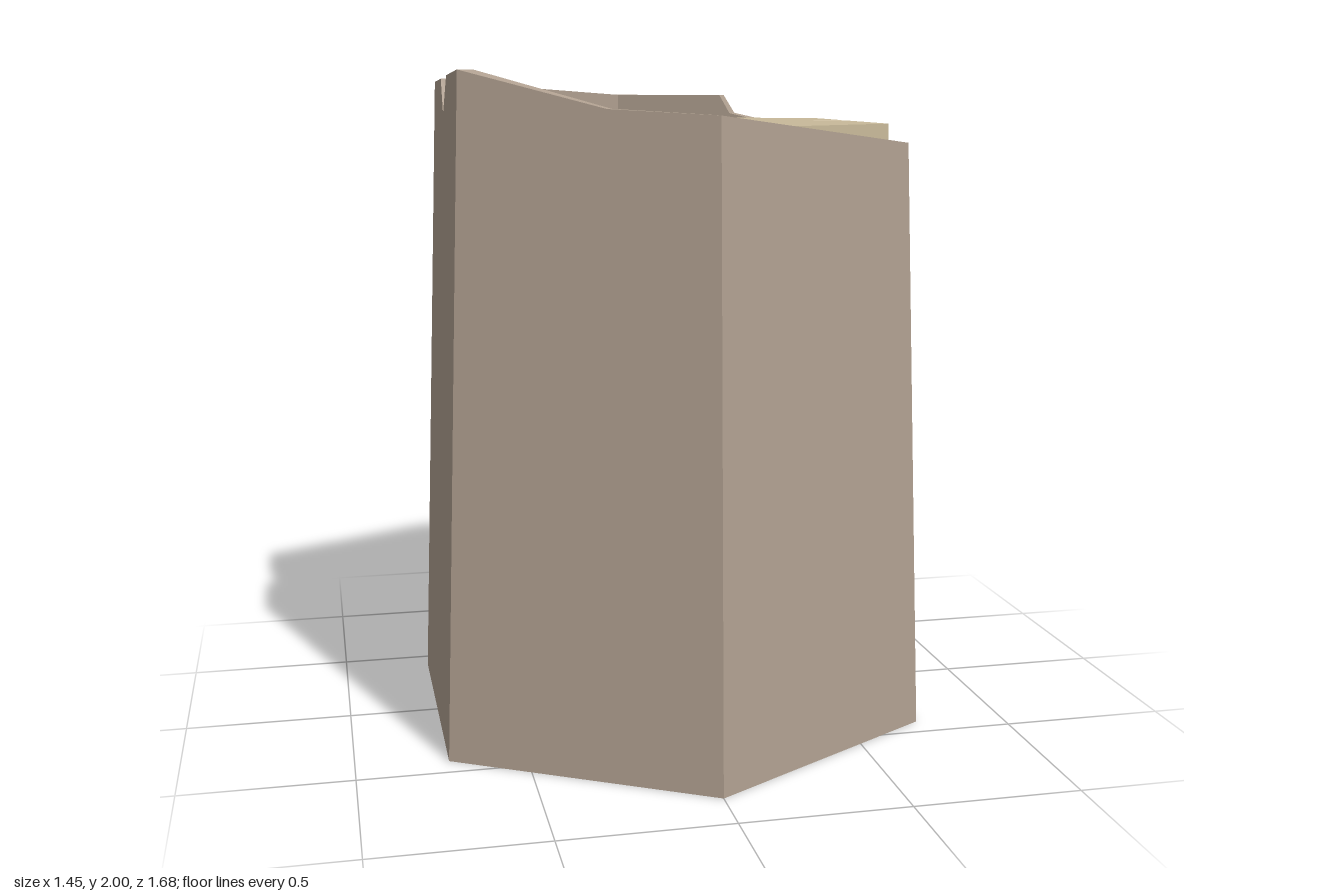
import * as THREE from 'three';

const CORE_TOP = 1.845;
const barkRadius = (y) => 0.84 - 0.0415 * y;
const coreRadius = (y) => 0.755 - 0.027 * y;

// Point on a hexagon outline: s runs 0..6 from the front corner towards +x
function hex(s, radius, y) {
  const k = Math.floor(s), t = s - k;
  const corner = (i) => new THREE.Vector3(Math.sin(i * Math.PI / 3), 0, Math.cos(i * Math.PI / 3));
  const p = corner(k).lerp(corner(k + 1), t).multiplyScalar(radius);
  p.y = y;
  return p;
}
const onCore = (s, y) => hex(s, coreRadius(y), y);

// Flat polygons, each fanned from its first corner (counter-clockwise from outside)
function facets(polygons) {
  const points = [];
  for (const p of polygons)
    for (let i = 1; i < p.length - 1; i++) points.push(p[0], p[i], p[i + 1]);
  const geometry = new THREE.BufferGeometry().setFromPoints(points);
  geometry.computeVertexNormals();
  return geometry;
}

function part(name, geometry, material) {
  const mesh = new THREE.Mesh(geometry, material);
  mesh.name = name;
  return mesh;
}

// Bark shell: a closed wall section swept round the hexagon with a broken rim
function barkGeometry() {
  const rim = [
    [0, 1.88], [1, 1.79], [1.5, 1.62], [2, 1.79], [2.43, 1.86], [2.48, 1.92], [3, 1.92],
    [4, 1.965], [4.3, 1.975], [4.43, 1.87], [4.55, 1.985], [5, 2], [5.58, 1.895], [6, 1.88],
  ];
  const sections = rim.map(([s, y]) => [
    hex(s, barkRadius(0), 0), hex(s, barkRadius(y), y), onCore(s, y), onCore(s, 0),
  ]);
  const polygons = [];
  for (let i = 0; i < sections.length - 1; i++) {
    const a = sections[i], b = sections[i + 1];
    for (let k = 0; k < 4; k++) {
      const n = (k + 1) % 4;
      polygons.push([a[k], b[k], b[n], a[n]]);
    }
  }
  return facets(polygons);
}

export function createModel() {
  const bark = new THREE.MeshStandardMaterial({ color: 0xb0a090, flatShading: true });
  const wood = new THREE.MeshStandardMaterial({ color: 0xc8b999, flatShading: true });
  const at = (x, z, y = CORE_TOP) => new THREE.Vector3(x, y, z);

  const top = [0, 1, 2, 3, 4, 5].map((s) => onCore(s, CORE_TOP));
  const base = [0, 1, 2, 3, 4, 5].map((s) => onCore(s, 0));

  // Split in the edge of the wood
  const splitA = onCore(1.507, CORE_TOP), splitB = onCore(1.62, CORE_TOP);
  const splitLow = onCore(1.55, 1.725), splitTip = at(0.37, -0.077);

  // Diamond crack in the cut surface
  const crack = [at(-0.34, 0.042), at(-0.095, 0.172), at(0.165, 0.213), at(-0.07, 0.082)];
  const crackLow = at(-0.085, 0.118, 1.74);

  // Cut surface with the split and the crack left open
  const flat = (p) => new THREE.Vector2(p.x, -p.z);
  const outline = [top[0], top[1], splitA, splitTip, splitB, ...top.slice(2)];
  const shape = new THREE.Shape(outline.map(flat));
  shape.holes.push(new THREE.Path(crack.map(flat)));
  const cut = new THREE.ShapeGeometry(shape).rotateX(-Math.PI / 2).translate(0, CORE_TOP, 0);

  // Sides and underside of the wood; the +x side is fanned from the split
  const sides = [[...base].reverse()];
  for (let i = 0; i < 6; i++) {
    const n = (i + 1) % 6;
    if (i === 1) sides.push([splitLow, splitB, top[2], top[2], base[2]].filter((p, j) => j !== 3).reverse());
    else sides.push([base[i], base[n], top[n], top[i]]);
  }
  // Rebuild the split side as one fan, counter-clockwise from outside
  sides[2] = [splitLow, splitA, top[1], base[1], base[2], top[2], splitB];

  const group = new THREE.Group();
  group.name = 'treeStump';
  group.add(
    part('bark', barkGeometry(), bark),
    part('woodSides', facets(sides), wood),
    part('cutSurface', cut, wood),
    part('edgeSplit', facets([[splitA, splitLow, splitTip], [splitLow, splitB, splitTip]]), wood),
    part('crack', facets(crack.map((p, i) => [p, crack[(i + 1) % 4], crackLow])), wood),
  );
  return group;
}
